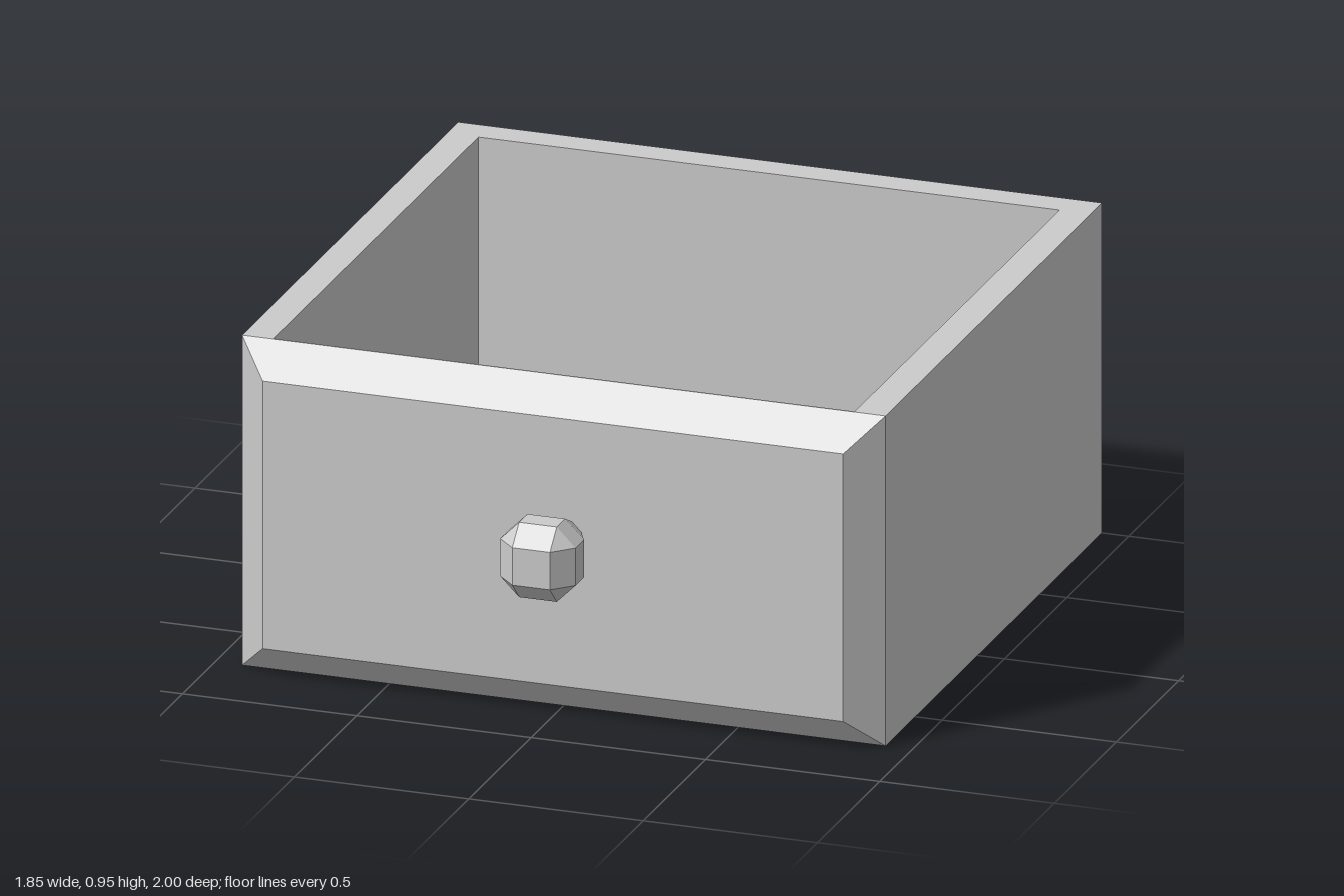
import * as THREE from 'three';
import { ConvexGeometry } from 'three/addons/geometries/ConvexGeometry.js';

const material = new THREE.MeshStandardMaterial({ color: 0xcccccc, flatShading: true });

// Four corners, counter-clockwise seen from above / from the front
const flatLoop = (x, y, z0, z1) => [[x, y, z1], [x, y, z0], [-x, y, z0], [-x, y, z1]];
const uprightLoop = (x, y0, y1, z) => [[-x, y0, z], [x, y0, z], [x, y1, z], [-x, y1, z]];

const quad = (a, b, c, d) => [a, b, c, a, c, d].flat();

// Quads joining two loops; "sides" limits how many of the four are made
function bridge(a, b, sides = 4) {
  const out = [];
  for (let i = 0; i < sides; i++) {
    const j = (i + 1) % 4;
    out.push(...quad(a[i], a[j], b[j], b[i]));
  }
  return out;
}

function addMesh(group, name, geometry) {
  const mesh = new THREE.Mesh(geometry, material);
  mesh.name = name;
  group.add(mesh);
}

function skin(positions) {
  const geometry = new THREE.BufferGeometry();
  geometry.setAttribute('position', new THREE.Float32BufferAttribute(positions, 3));
  geometry.computeVertexNormals();
  return geometry;
}

export function createModel() {
  const group = new THREE.Group();
  group.name = 'drawer';

  const W = 0.923, H = 0.952, back = -1, front = 0.738;
  const bevel = 0.09, panelZ = 0.826, floorY = 0.16;

  // Open box: underside, three outer walls, rim, inner walls and floor
  const base = flatLoop(W, 0, back, front);
  const rimOuter = flatLoop(W, H, back, front);
  const rimInner = flatLoop(W - bevel, H, back + bevel, front - 0.004);
  const floor = flatLoop(W - bevel, floorY, back + bevel, front - 0.004);
  addMesh(group, 'drawerBox', skin([
    ...quad(...[...base].reverse()),
    ...bridge(base, rimOuter, 3),
    ...bridge(rimOuter, rimInner),
    ...bridge(rimInner, floor),
    ...quad(...floor),
  ]));

  // Bevelled front panel
  const panelBack = uprightLoop(W, 0, H, front);
  const panelFace = uprightLoop(W - bevel, bevel, H - bevel, panelZ);
  addMesh(group, 'frontPanel', skin([...bridge(panelBack, panelFace), ...quad(...panelFace)]));

  // Knob: a cube with chamfered edges and corners, its back sunk in the panel
  const R = 0.108, r = 0.054, points = [];
  for (const sx of [-1, 1]) for (const sy of [-1, 1]) {
    for (const z of [0.878, 0.945]) {
      points.push(new THREE.Vector3(sx * R, sy * r, z), new THREE.Vector3(sx * r, sy * R, z));
    }
    for (const z of [0.77, 1]) points.push(new THREE.Vector3(sx * r, sy * r, z));
  }
  const knob = new ConvexGeometry(points);
  knob.translate(0, 0.487, 0);
  addMesh(group, 'knob', knob);

  return group;
}
